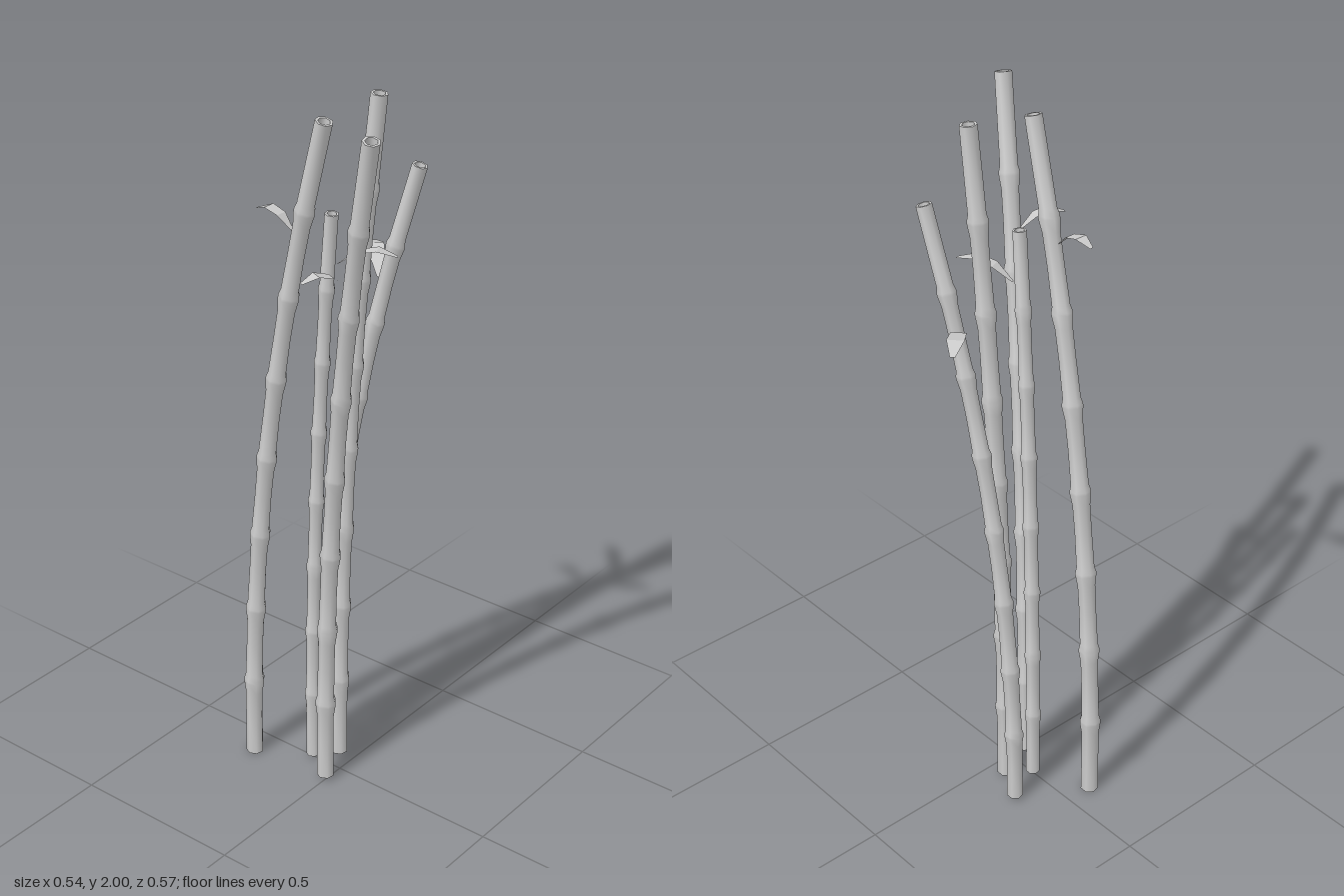
import * as THREE from 'three';
import { toCreasedNormals } from 'three/addons/utils/BufferGeometryUtils.js';

const SIDES = 7, JOINTS = 8;
const UP = new THREE.Vector3(0, 1, 0);
const material = new THREE.MeshStandardMaterial({ color: 0xcccccc });
const leafMaterial = new THREE.MeshStandardMaterial({ color: 0xcccccc, side: THREE.DoubleSide });

// Straight jointed cane with a hollow top, bent along a parabola
function stalkGeometry(base, top, r) {
  const height = top[1] - base[1];
  const step = height / JOINTS;
  const radius = (y) => r * (1 - 0.08 * y / height);
  const profile = [];
  const add = (scale, y) => profile.push(new THREE.Vector2(radius(y) * scale, y));

  add(0, 0);
  add(1, 0);
  for (let i = 1; i < JOINTS; i++) {
    const y = i * step;
    add(0.97, y - step * 0.5);
    add(1, y - step * 0.16);
    add(1.2, y - 0.004);
    add(1.2, y + 0.004);
    add(1.02, y + step * 0.08);
  }
  add(1, height);
  add(0.7, height);
  add(0.7, height - 0.03);
  add(0, height - 0.03);

  const geometry = new THREE.LatheGeometry(profile, SIDES);
  const pos = geometry.attributes.position;
  const dx = top[0] - base[0], dz = top[2] - base[2];
  const v = new THREE.Vector3(), tangent = new THREE.Vector3(), q = new THREE.Quaternion();
  for (let i = 0; i < pos.count; i++) {
    const y = pos.getY(i), t = y / height;
    tangent.set(2 * t * dx, height, 2 * t * dz).normalize();
    q.setFromUnitVectors(UP, tangent);
    v.set(pos.getX(i), 0, pos.getZ(i)).applyQuaternion(q);
    pos.setXYZ(i, v.x + base[0] + dx * t * t, v.y + base[1] + y, v.z + base[2] + dz * t * t);
  }
  return toCreasedNormals(geometry, 1.1);
}

// Arched leaf blade: four cross-rows from stem to drooping tip
function leafGeometry(start, end, width) {
  const rows = [[0, 0, 0.2], [0.33, 0.038, 0.9], [0.67, 0.05, 1], [1, 0.035, 0.3]];
  const dx = end[0] - start[0], dz = end[1] - start[2];
  const length = Math.hypot(dx, dz);
  const positions = [], index = [];
  rows.forEach(([t, lift, w], i) => {
    for (const side of [-0.5, 0.5]) {
      const s = side * w * width / length;
      positions.push(start[0] + dx * t - dz * s, start[1] + lift, start[2] + dz * t + dx * s);
    }
    if (i > 0) {
      const a = 2 * i - 2;
      index.push(a, a + 1, a + 2, a + 1, a + 3, a + 2);
    }
  });
  const geometry = new THREE.BufferGeometry();
  geometry.setAttribute('position', new THREE.Float32BufferAttribute(positions, 3));
  geometry.setIndex(index);
  return toCreasedNormals(geometry, 0.2);
}

export function createModel() {
  const group = new THREE.Group();
  const add = (name, geometry, mat) => {
    const mesh = new THREE.Mesh(geometry, mat);
    mesh.name = name;
    group.add(mesh);
  };

  // Canes: foot, tip, radius
  const stalks = [
    [[-0.25, 0, 0.08], [0.04, 1.975, 0.11], 0.025],
    [[-0.008, 0.01, 0.055], [0.248, 1.995, 0.195], 0.025],
    [[-0.05, 0.01, -0.06], [0.06, 2, -0.08], 0.025],
    [[-0.14, 0.01, -0.105], [0.115, 1.8, -0.177], 0.023],
    [[-0.098, 0.01, 0], [-0.003, 1.705, 0.028], 0.02],
  ];
  stalks.forEach(([base, top, r], i) => add(`stalk${i + 1}`, stalkGeometry(base, top, r), material));

  // Leaves: stem point, tip (x, z), width
  const leaves = [
    [[0.005, 1.475, -0.155], [-0.108, -0.28], 0.045],
    [[0, 1.565, 0.01], [0.142, -0.053], 0.038],
    [[-0.065, 1.665, 0.103], [-0.183, 0.103], 0.036],
    [[0.155, 1.595, 0.168], [0.105, 0.28], 0.038],
  ];
  leaves.forEach(([start, end, w], i) => add(`leaf${i + 1}`, leafGeometry(start, end, w), leafMaterial));

  return group;
}
